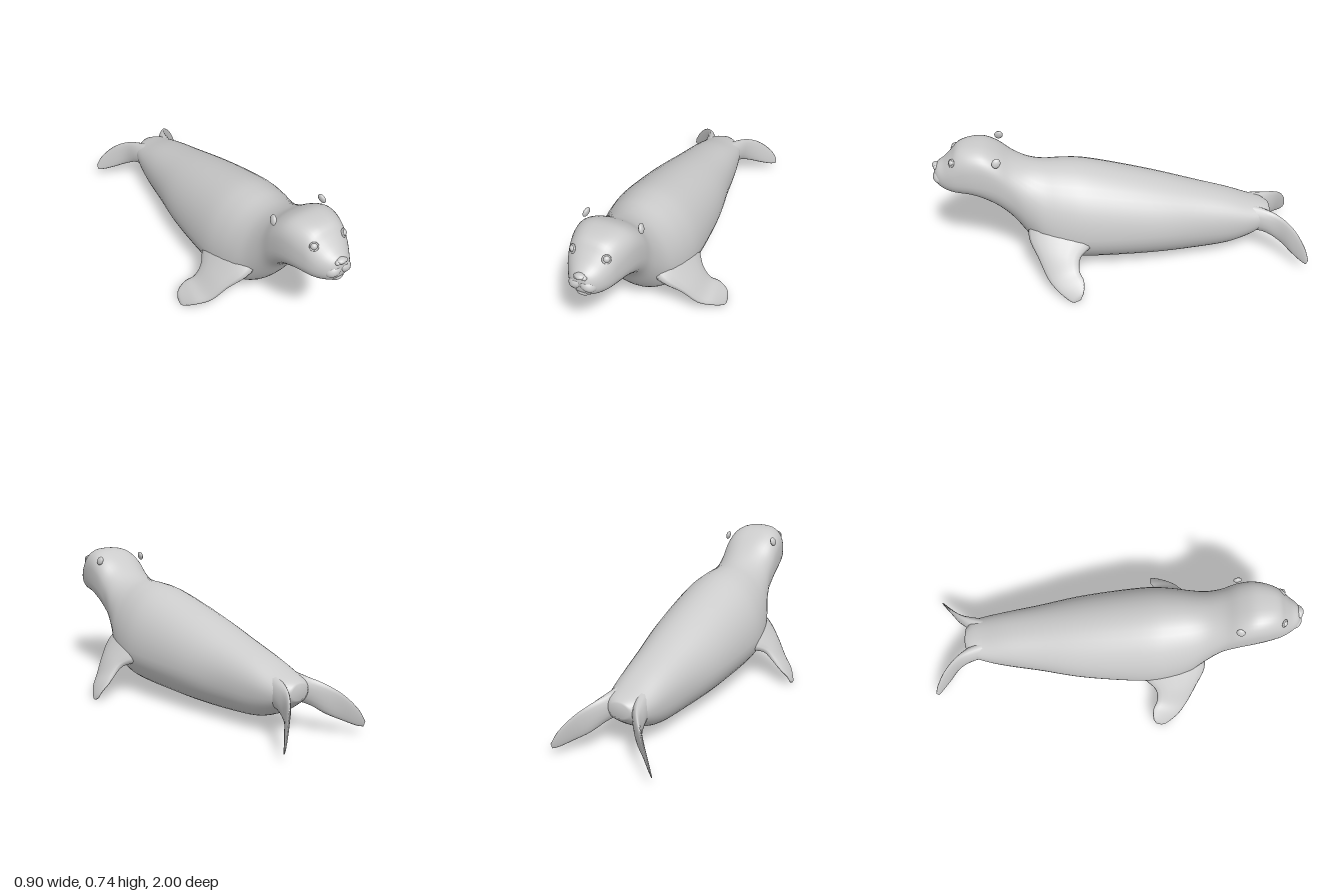
import * as THREE from 'three';

const material = new THREE.MeshStandardMaterial({ color: 0xcccccc, side: THREE.DoubleSide });
const V = (x, y, z) => new THREE.Vector3(x, y, z);

// Smooth closed skin through a row of rings with equal point counts
function loft(rings, steps, flip = false) {
  const n = rings[0].length, rows = (rings.length - 1) * steps, pos = [], idx = [];
  const columns = rings[0].map((_, j) => new THREE.CatmullRomCurve3(rings.map(r => r[j]), false, 'catmullrom', 0.5));
  for (let i = 0; i <= rows; i++) for (const c of columns) pos.push(...c.getPoint(i / rows).toArray());
  const tri = (a, b, c) => flip ? idx.push(a, c, b) : idx.push(a, b, c);
  for (let i = 0; i < rows; i++) for (let j = 0; j < n; j++) {
    const a = i * n + j, b = i * n + (j + 1) % n;
    tri(a, a + n, b);
    tri(b, a + n, b + n);
  }
  // end caps
  for (const [row, ring] of [[0, rings[0]], [rows, rings[rings.length - 1]]]) {
    const mid = ring.reduce((s, p) => s.add(p), V(0, 0, 0)).divideScalar(n), m = pos.length / 3;
    pos.push(...mid.toArray());
    for (let j = 0; j < n; j++) {
      const a = row * n + j, b = row * n + (j + 1) % n;
      row ? tri(m, b, a) : tri(m, a, b);
    }
  }
  const g = new THREE.BufferGeometry();
  g.setAttribute('position', new THREE.Float32BufferAttribute(pos, 3));
  g.setIndex(idx);
  g.computeVertexNormals();
  return g;
}

// Rounded slice of the body; the widest level sits at yMid
function bodyRing([z, yLow, yHigh, halfWidth, yMid, power]) {
  const n = 40, e = 2 / power;
  return Array.from({ length: n }, (_, j) => {
    const a = j / n * Math.PI * 2, c = Math.cos(a), s = Math.sin(a);
    const h = s > 0 ? yHigh - yMid : yMid - yLow;
    return V(halfWidth * Math.sign(c) * Math.abs(c) ** e, yMid + h * Math.sign(s) * Math.abs(s) ** e, z);
  });
}

// Flipper from stations: [edge point, opposite edge point, half thickness]
function flipper(stations, side) {
  const mids = stations.map(([a, b]) => V(...a).add(V(...b)).multiplyScalar(0.5));
  const rings = stations.map(([a, b, t], i) => {
    const u = V(...a).sub(V(...b)).multiplyScalar(0.5);
    const d = mids[Math.min(i + 1, mids.length - 1)].clone().sub(mids[Math.max(i - 1, 0)]);
    const v = u.clone().cross(d).normalize().multiplyScalar(t);
    return Array.from({ length: 16 }, (_, j) => {
      const k = j / 16 * Math.PI * 2;
      const p = mids[i].clone().addScaledVector(u, Math.cos(k)).addScaledVector(v, Math.sin(k));
      p.x *= side;
      return p;
    });
  });
  return loft(rings, 4, side < 0);
}

// z, low, high, half width, widest level, roundness
const bodySlices = [
  [0.985, 0.535, 0.605, 0.035, 0.565, 2],
  [0.965, 0.50, 0.63, 0.065, 0.56, 2.1],
  [0.93, 0.48, 0.652, 0.092, 0.56, 2.2],
  [0.89, 0.47, 0.69, 0.115, 0.57, 2.4],
  [0.85, 0.468, 0.728, 0.13, 0.58, 2.6],
  [0.79, 0.462, 0.742, 0.147, 0.59, 2.8],
  [0.72, 0.43, 0.738, 0.158, 0.59, 2.8],
  [0.65, 0.375, 0.705, 0.162, 0.56, 2.6],
  [0.58, 0.29, 0.655, 0.163, 0.49, 2.3],
  [0.50, 0.165, 0.618, 0.185, 0.39, 2.1],
  [0.42, 0.08, 0.602, 0.22, 0.31, 2],
  [0.32, 0.05, 0.60, 0.246, 0.27, 2],
  [0.20, 0.04, 0.588, 0.257, 0.26, 2],
  [0.0, 0.033, 0.54, 0.245, 0.25, 2],
  [-0.2, 0.03, 0.485, 0.222, 0.24, 2],
  [-0.4, 0.037, 0.423, 0.182, 0.23, 2.1],
  [-0.58, 0.057, 0.367, 0.152, 0.22, 2.2],
  [-0.7, 0.10, 0.322, 0.13, 0.22, 2.2],
  [-0.78, 0.155, 0.295, 0.105, 0.225, 2.2],
  [-0.82, 0.195, 0.275, 0.055, 0.235, 2],
];

const frontStations = [
  [[0.10, 0.31, 0.51], [0.12, 0.30, 0.10], 0.09],
  [[0.19, 0.245, 0.51], [0.23, 0.22, 0.17], 0.055],
  [[0.27, 0.175, 0.465], [0.29, 0.18, 0.24], 0.032],
  [[0.34, 0.09, 0.42], [0.34, 0.13, 0.25], 0.022],
  [[0.40, 0.05, 0.37], [0.385, 0.10, 0.23], 0.014],
  [[0.44, 0.012, 0.31], [0.43, 0.06, 0.232], 0.007],
  [[0.447, 0.003, 0.285], [0.445, 0.02, 0.25], 0.003],
];

const rearStations = [
  [[0.05, 0.315, -0.66], [0.05, 0.15, -0.66], 0.05],
  [[0.085, 0.29, -0.78], [0.09, 0.15, -0.78], 0.035],
  [[0.125, 0.265, -0.86], [0.135, 0.11, -0.865], 0.018],
  [[0.185, 0.215, -0.93], [0.20, 0.075, -0.92], 0.01],
  [[0.245, 0.14, -0.98], [0.25, 0.05, -0.965], 0.006],
  [[0.277, 0.075, -1.0], [0.277, 0.045, -0.99], 0.003],
];

export function createModel() {
  const model = new THREE.Group();
  const add = (name, geometry) => {
    const mesh = new THREE.Mesh(geometry, material);
    mesh.name = name;
    model.add(mesh);
    return mesh;
  };
  const blob = (name, p, r) => {
    const mesh = add(name, new THREE.SphereGeometry(1, 20, 14));
    mesh.position.set(...p);
    mesh.scale.set(...r);
    return mesh;
  };

  add('body', loft(bodySlices.map(bodyRing), 4));

  for (const s of [1, -1]) {
    const side = s > 0 ? 'left' : 'right';
    add(side + 'FrontFlipper', flipper(frontStations, s));
    add(side + 'RearFlipper', flipper(rearStations, s));

    // eye in its lid ring
    blob(side + 'Eye', [s * 0.085, 0.672, 0.878], [0.018, 0.018, 0.018]);
    const lid = add(side + 'Eyelid', new THREE.TorusGeometry(0.018, 0.005, 8, 20));
    lid.position.set(s * 0.087, 0.672, 0.882);
    lid.rotation.set(-0.5, s * 0.6, 0);

    // small folded ear
    const ear = blob(side + 'Ear', [s * 0.145, 0.695, 0.65], [0.012, 0.026, 0.022]);
    ear.rotation.set(-0.5, 0, s * 0.3);

    // whisker pads and nostril wings
    const pad = blob(side + 'WhiskerPad', [s * 0.028, 0.562, 0.95], [0.046, 0.035, 0.044]);
    pad.rotation.z = -s * 0.5;
    blob(side + 'Nostril', [s * 0.02, 0.61, 0.975], [0.014, 0.012, 0.014]);
  }

  // nose and lower lip
  blob('nose', [0, 0.615, 0.974], [0.026, 0.015, 0.022]);
  blob('lowerLip', [0, 0.512, 0.945], [0.042, 0.024, 0.036]);

  return model;
}
